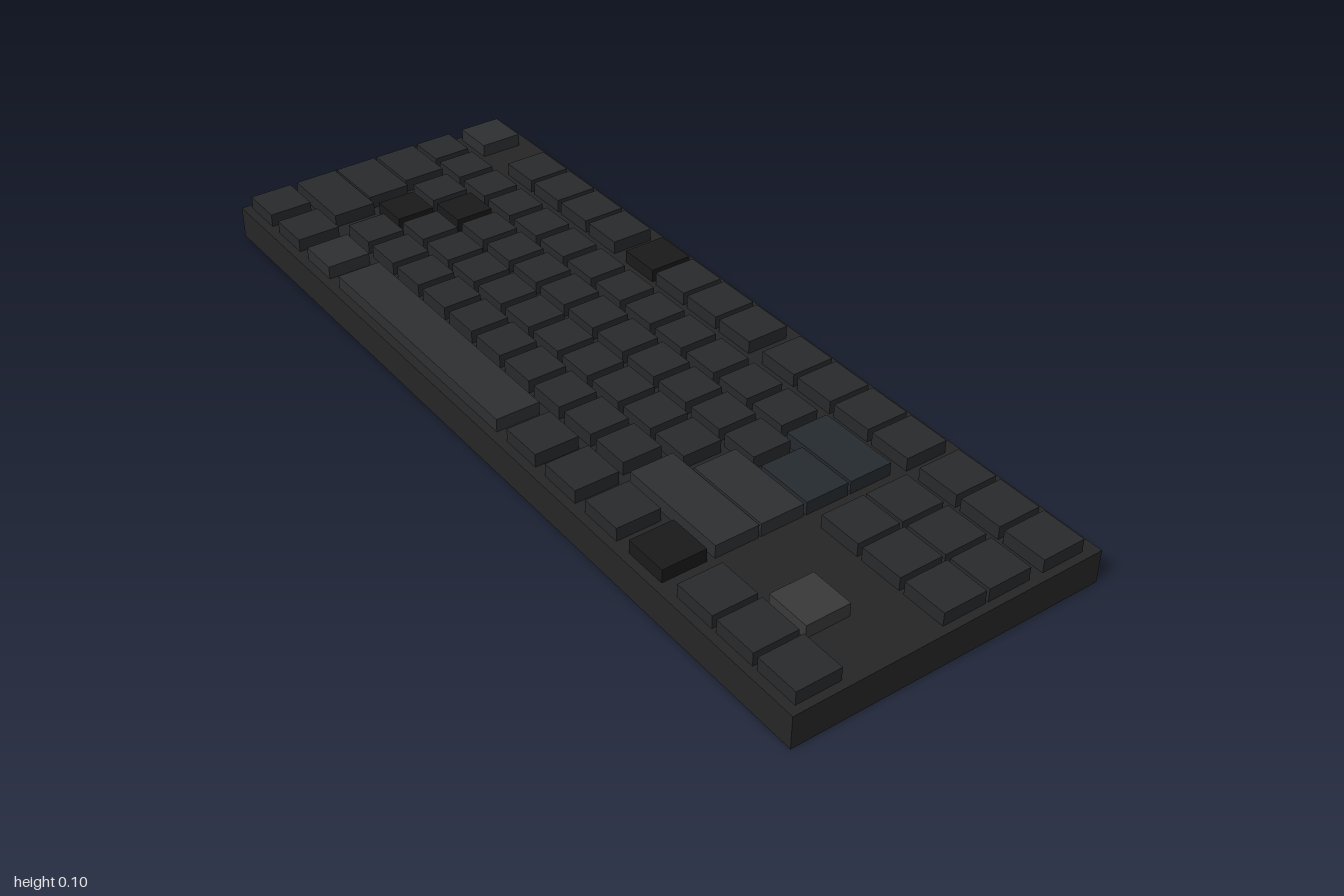
import * as THREE from 'three';

const BASE_H = 0.075, TOP = 0.105;
const BIG = 0.1, SMALL = 0.09;

const paint = (color) => new THREE.MeshStandardMaterial({ color });
const MAT = {
  base: paint(0x262626),
  key: paint(0x282a2c),
  wide: paint(0x2e3032),
  blue: paint(0x262b30),
  light: paint(0x393939),
  dark: paint(0x1a1a1a),
};

// One flat keycap, given by its left edge, width, row centre and depth
function addKey(parent, name, left, width, z, depth, mat) {
  const geo = new THREE.BoxGeometry(width, TOP - BASE_H, depth);
  const key = new THREE.Mesh(geo, mat);
  key.name = name;
  key.position.set(left + width / 2, (TOP + BASE_H) / 2, z);
  parent.add(key);
}

function addRow(parent, name) {
  const row = new THREE.Group();
  row.name = name;
  parent.add(row);
  return row;
}

export function createModel() {
  const model = new THREE.Group();
  model.name = 'keyboard';

  // Flat case
  const base = new THREE.Mesh(new THREE.BoxGeometry(2, BASE_H, 0.72), MAT.base);
  base.name = 'case';
  base.position.y = BASE_H / 2;
  model.add(base);

  // Top row: escape, then three blocks of four
  const topRow = addRow(model, 'topRow');
  addKey(topRow, 'escapeKey', -0.984, BIG, -0.278, BIG, MAT.wide);
  [-0.775, -0.294, 0.187].forEach((start, block) => {
    for (let i = 0; i < 4; i++) {
      const mat = block === 1 && i === 0 ? MAT.dark : MAT.key;
      addKey(topRow, 'topRowKey', start + i * 0.1123, BIG, -0.278, BIG, mat);
    }
  });

  // Typing rows: small keys at an even pitch between wide end keys
  const rows = [
    { name: 'numberRow', z: -0.145, start: -0.984, pitch: 0.1083, count: 13, right: 0.428, mat: MAT.blue },
    { name: 'upperLetterRow', z: -0.039, start: -0.818, pitch: 0.1073, count: 12, left: -0.845, right: 0.481, mat: MAT.blue, dark: 1 },
    { name: 'middleLetterRow', z: 0.068, start: -0.791, pitch: 0.1075, count: 11, left: -0.824, right: 0.412, mat: MAT.wide, dark: 0 },
    { name: 'lowerLetterRow', z: 0.173, start: -0.743, pitch: 0.1085, count: 10, left: -0.797, right: 0.353, mat: MAT.wide },
  ];
  for (const r of rows) {
    const row = addRow(model, r.name);
    if (r.left) addKey(row, 'wideLeftKey', -0.984, r.left + 0.984, r.z, BIG, MAT.key);
    for (let i = 0; i < r.count; i++) {
      addKey(row, 'typingKey', r.start + i * r.pitch, SMALL, r.z, SMALL, i === r.dark ? MAT.dark : MAT.key);
    }
    addKey(row, 'wideRightKey', r.right, 0.615 - r.right, r.z, BIG, r.mat);
  }

  // Bottom row with the space bar
  const bottom = addRow(model, 'bottomRow');
  [-0.984, -0.85, -0.711, 0.107, 0.241, 0.374, 0.513].forEach((x, i) => {
    const mat = i === 6 ? MAT.dark : i === 2 ? MAT.wide : MAT.key;
    addKey(bottom, 'modifierKey', x, BIG, 0.29, BIG, mat);
  });
  addKey(bottom, 'spaceBar', -0.567, 0.637, 0.29, BIG, MAT.wide);

  // Navigation block and arrow keys
  const nav = addRow(model, 'navigationBlock');
  for (const z of [-0.278, -0.145, -0.038, 0.29]) {
    for (let i = 0; i < 3; i++) {
      addKey(nav, z > 0 ? 'arrowKey' : 'navigationKey', 0.658 + i * 0.112, BIG, z, BIG, MAT.key);
    }
  }
  addKey(nav, 'upArrowKey', 0.77, BIG, 0.175, BIG, MAT.light);

  return model;
}
